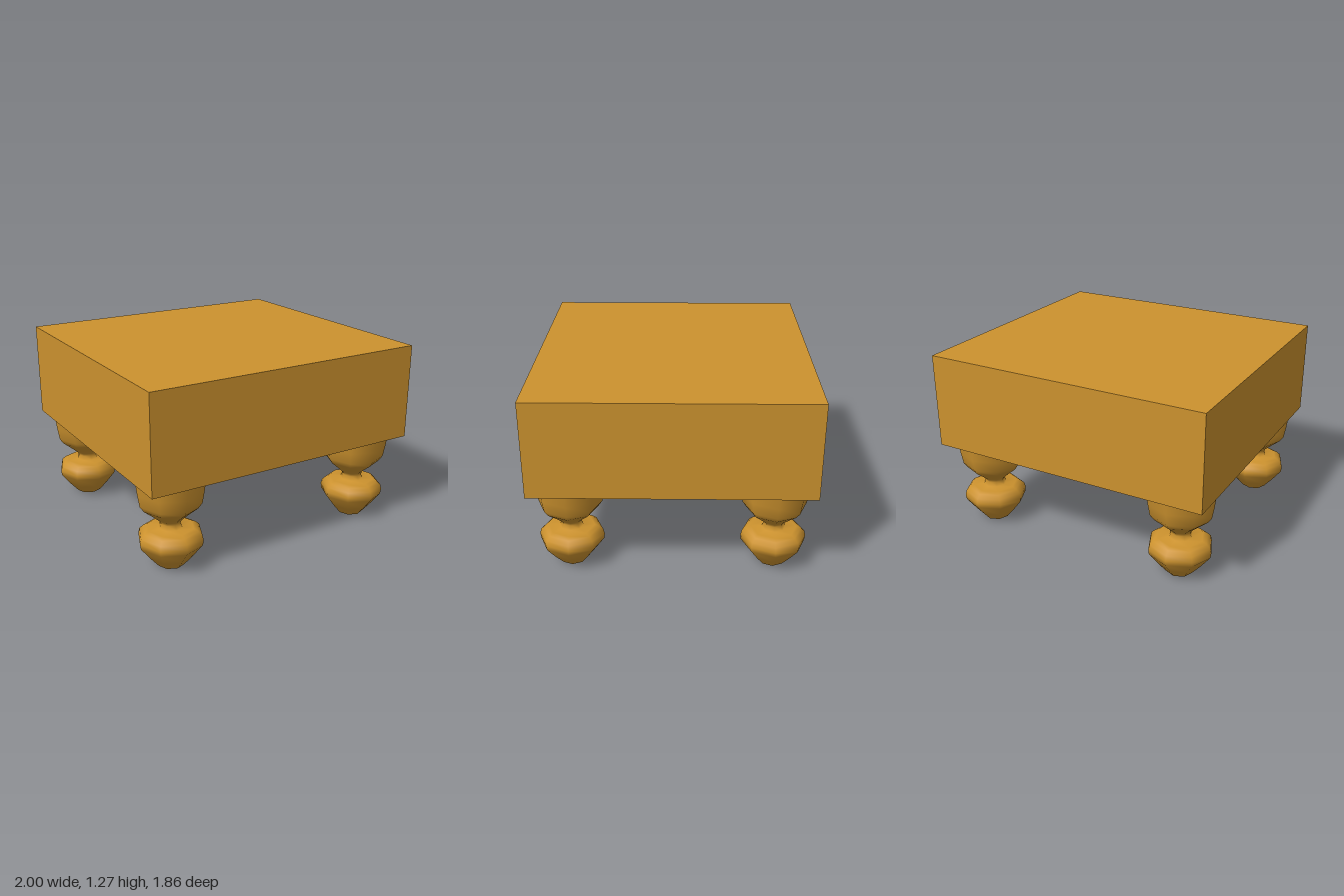
import * as THREE from 'three';

export function createModel() {
  const model = new THREE.Group();
  model.name = 'footstool';
  const wood = new THREE.MeshStandardMaterial({ color: 0xcc922e });
  wood.name = 'golden wood';

  // Thick rectangular top
  const top = new THREE.Mesh(new THREE.BoxGeometry(2, 0.66, 1.86), wood);
  top.name = 'seatBlock';
  top.position.y = 0.945;
  model.add(top);

  // Turned eight-sided leg: [radius, height] from foot to cup rim
  const profile = [
    [0.09, 0], [0.15, 0.07], [0.215, 0.155], [0.22, 0.19], [0.212, 0.225],
    [0.185, 0.25], [0.155, 0.265], [0.08, 0.265], [0.068, 0.295], [0.075, 0.315],
    [0.125, 0.36], [0.185, 0.41], [0.213, 0.45], [0.227, 0.53], [0.238, 0.617],
  ].map(([r, y]) => new THREE.Vector2(r, y));
  const legGeometry = new THREE.LatheGeometry(profile, 8);

  // Flat sole closing the foot
  const soleGeometry = new THREE.CircleGeometry(0.09, 8);
  soleGeometry.rotateX(Math.PI / 2);

  for (const x of [-1, 1]) {
    for (const z of [-1, 1]) {
      const leg = new THREE.Group();
      leg.name = (z > 0 ? 'front' : 'back') + (x > 0 ? 'Left' : 'Right') + 'Leg';
      const turning = new THREE.Mesh(legGeometry, wood);
      turning.name = 'turnedLeg';
      const sole = new THREE.Mesh(soleGeometry, wood);
      sole.name = 'sole';
      leg.add(turning, sole);
      leg.position.set(x * 0.75, 0, z * 0.68);
      model.add(leg);
    }
  }
  return model;
}
